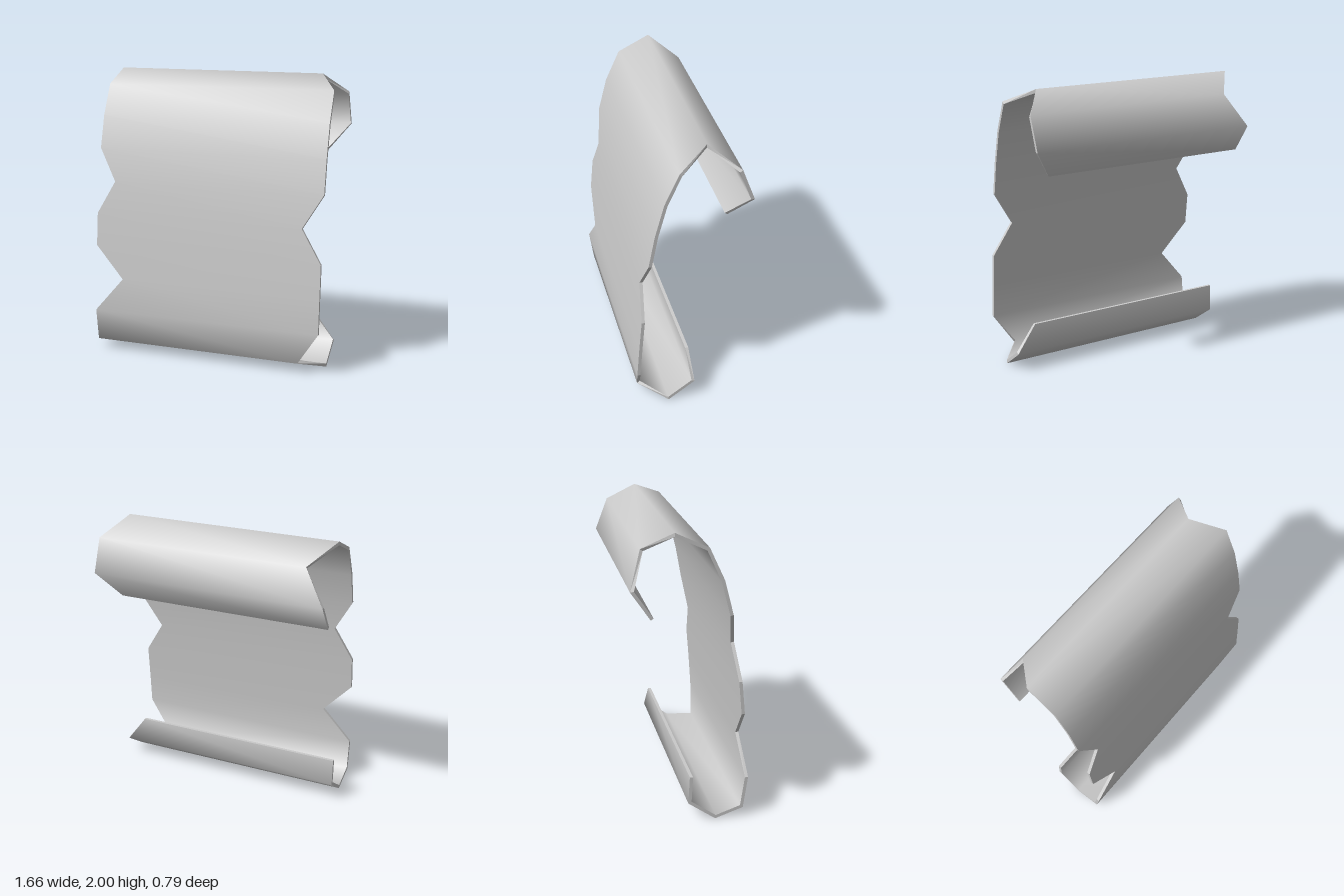
import * as THREE from 'three';
import { mergeGeometries } from 'three/addons/utils/BufferGeometryUtils.js';

const THICKNESS = 0.022;

// Rows along the sheet, from the upper curl's end over the top, down the front
// and into the lower curl: [z, y, right edge x, left edge x, skew of the curl]
const ROWS = [
  [-0.265, 1.45, -0.83, 0.69, 1],
  [-0.393, 1.64, -0.83, 0.83, 1],
  [-0.305, 1.87, -0.68, 0.83, 1],
  [-0.115, 2.0, -0.83, 0.69, 1],
  [0.105, 1.895, -0.83, 0.83, 0.4],
  [0.205, 1.68, -0.83, 0.83, 0],
  [0.265, 1.45, -0.83, 0.83, 0],
  [0.307, 1.22, -0.70, 0.83, 0],
  [0.335, 0.99, -0.83, 0.69, 0],
  [0.357, 0.76, -0.83, 0.83, 0],
  [0.376, 0.53, -0.62, 0.83, 0],
  [0.393, 0.29, -0.83, 0.83, 0],
  [0.362, 0.065, -0.83, 0.68, 0],
  [0.17, 0.0, -0.83, 0.83, 0],
  [-0.017, 0.135, -0.83, 0.83, 0],
  [-0.008, 0.33, -0.83, 0.69, 0],
];

// Point on the sheet; the upper curl tightens a little towards +x
function edgePoint(i, side, depth) {
  const row = ROWS[i];
  const dir = (a, b) => new THREE.Vector2(b[0] - a[0], b[1] - a[1]).normalize();
  const before = dir(ROWS[Math.max(i - 1, 0)], ROWS[Math.max(i, 1)]);
  const last = ROWS.length - 1;
  const after = dir(ROWS[Math.min(i, last - 1)], ROWS[Math.min(i + 1, last)]);
  const t = before.clone().add(after).normalize();
  const d = depth / Math.max(0.5, t.dot(after));
  const x = row[side];
  const skew = 0.015 * row[4] * (x + 0.83) / 1.66;
  return new THREE.Vector3(x, row[1] - skew - t.x * d, row[0] + skew + t.y * d);
}

function geometryFrom(points, index) {
  const g = new THREE.BufferGeometry().setFromPoints(points);
  if (index) g.setIndex(index);
  g.computeVertexNormals();
  return index ? g.toNonIndexed() : g;
}

// One smooth face of the sheet
function sheetFace(depth, flip) {
  const points = [], index = [];
  ROWS.forEach((_, i) => {
    points.push(edgePoint(i, 2, depth), edgePoint(i, 3, depth));
    if (i === 0) return;
    const a = 2 * i - 2, b = a + 1, d = a + 2, c = a + 3;
    index.push(...(flip ? [a, c, d, a, b, c] : [a, d, c, a, c, b]));
  });
  return geometryFrom(points, index);
}

// Crisp narrow rim joining both faces
function rim() {
  const points = [];
  const quad = (a, b, c, d) => points.push(a, b, c, a, c, d);
  const out = (i, side) => edgePoint(i, side, 0);
  const inn = (i, side) => edgePoint(i, side, THICKNESS);
  const last = ROWS.length - 1;
  for (let i = 0; i < last; i++) {
    quad(out(i, 3), out(i + 1, 3), inn(i + 1, 3), inn(i, 3));
    quad(out(i, 2), inn(i, 2), inn(i + 1, 2), out(i + 1, 2));
  }
  quad(out(0, 2), out(0, 3), inn(0, 3), inn(0, 2));
  quad(out(last, 2), inn(last, 2), inn(last, 3), out(last, 3));
  return geometryFrom(points);
}

export function createModel() {
  const group = new THREE.Group();
  group.name = 'scroll';
  const geometry = mergeGeometries([sheetFace(0, false), sheetFace(THICKNESS, true), rim()]);
  const sheet = new THREE.Mesh(geometry, new THREE.MeshStandardMaterial({ color: 0xcccccc }));
  sheet.name = 'tornCurledSheet';
  group.add(sheet);
  return group;
}
